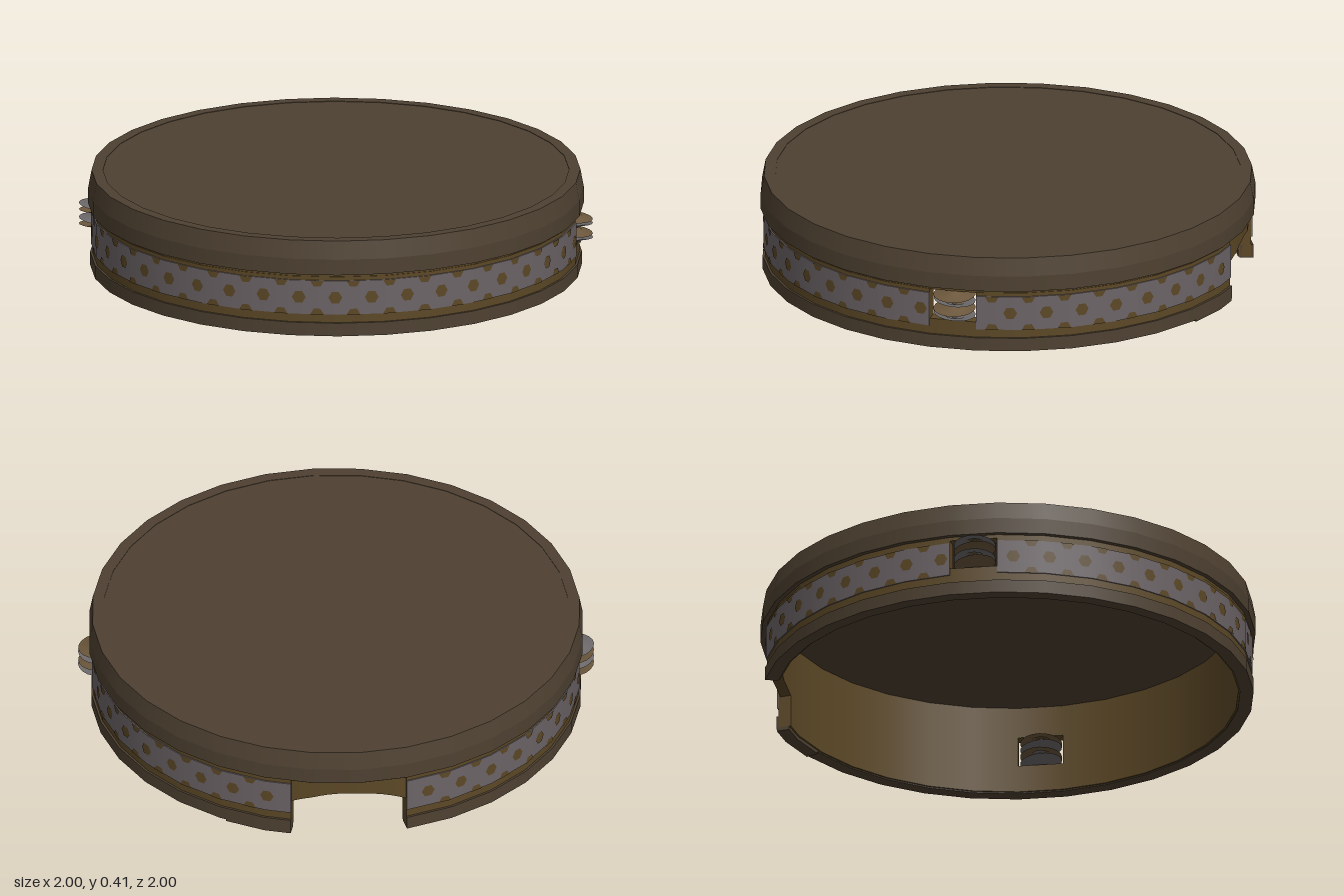
import * as THREE from 'three';

const SIDES = 32;
const STEP = 360 / SIDES;
const DEG = Math.PI / 180;

// Scale that keeps a point on the flat sides of the 32-gon
function facet(deg) {
  const d = ((deg % STEP) + STEP) % STEP - STEP / 2;
  return Math.cos(DEG * STEP / 2) / Math.cos(DEG * d);
}

function onRing(deg, r, y) {
  const k = r * facet(deg);
  return [k * Math.cos(deg * DEG), y, k * Math.sin(deg * DEG)];
}

// Sweep a convex [radius, height] section (counter-clockwise) from one angle to another
function sweep(section, from, to, step = STEP) {
  const profile = typeof section === 'function' ? section : () => section;
  const angles = [from];
  for (let k = Math.floor(from / step) + 1; k * step < to - 1e-6; k++) angles.push(k * step);
  angles.push(to);
  const pos = [], nor = [], idx = [];
  const n = profile(from).length;
  for (let e = 0; e < n; e++) {
    const base = pos.length / 3;
    angles.forEach((a) => {
      const pts = profile(a), p = pts[e], q = pts[(e + 1) % n];
      const dr = q[0] - p[0], dy = q[1] - p[1], l = Math.hypot(dr, dy);
      for (const s of [p, q]) {
        pos.push(...onRing(a, s[0], s[1]));
        nor.push(dy / l * Math.cos(a * DEG), -dr / l, dy / l * Math.sin(a * DEG));
      }
    });
    for (let i = 0; i < angles.length - 1; i++) {
      const a = base + i * 2;
      idx.push(a, a + 1, a + 3, a, a + 3, a + 2);
    }
  }
  // End caps
  if (to - from < 359.9) {
    for (const [a, s] of [[from, -1], [to, 1]]) {
      const base = pos.length / 3;
      for (const p of profile(a)) {
        pos.push(...onRing(a, p[0], p[1]));
        nor.push(-s * Math.sin(a * DEG), 0, s * Math.cos(a * DEG));
      }
      for (let i = 1; i < n - 1; i++) {
        if (s > 0) idx.push(base, base + i, base + i + 1);
        else idx.push(base, base + i + 1, base + i);
      }
    }
  }
  return makeGeometry(pos, nor, idx);
}

function makeGeometry(pos, nor, idx) {
  const g = new THREE.BufferGeometry();
  g.setAttribute('position', new THREE.Float32BufferAttribute(pos, 3));
  g.setAttribute('normal', new THREE.Float32BufferAttribute(nor, 3));
  g.setIndex(idx);
  return g;
}

const box = (r0, r1, y0, y1) => [[r0, y0], [r1, y0], [r1, y1], [r0, y1]];

// Hexagonal spots laid on the band; start and sweep angles give whole or half spots
function spots(list, radius, r) {
  const pos = [], nor = [], idx = [];
  for (const [deg, y, start, arc] of list) {
    const base = pos.length / 3;
    const n = Math.round(arc / 60);
    for (let i = -1; i <= n; i++) {
      const t = (start + i * 60) * DEG, s = i < 0 ? 0 : radius;
      const a = deg - s * Math.cos(t) / r / DEG;
      pos.push(...onRing(a, r, y + s * Math.sin(t)));
      nor.push(Math.cos(a * DEG), 0, Math.sin(a * DEG));
      if (i > 0) idx.push(base, base + i, base + i + 1);
    }
  }
  return makeGeometry(pos, nor, idx);
}

export function createModel() {
  const mat = (name, color, side = THREE.FrontSide) => {
    const m = new THREE.MeshStandardMaterial({ color, side });
    m.name = name;
    return m;
  };
  const wood = mat('dark wood', 0x4e4131);
  const shell = mat('golden wood', 0x5c4826);
  const silver = mat('silver band', 0x6c6467);
  const brass = mat('brass', 0x6b573c, THREE.DoubleSide);
  const steel = mat('steel', 0x6e6a6b, THREE.DoubleSide);

  const root = new THREE.Group();
  const add = (name, geometry, material, parent = root) => {
    const m = new THREE.Mesh(geometry, material);
    m.name = name;
    parent.add(m);
    return m;
  };

  // Angles run from +x towards +z; the hand notch lies between notchStart and notchEnd
  const notchStart = -67.5, notchEnd = -40;
  const ranges = [[notchEnd, 33.75, 0], [45, 213.75, 90], [225, 292.5, 270]];

  // Head and top hoop
  add('head', new THREE.CylinderGeometry(0.98, 0.98, 0.022, SIDES), wood).position.y = 0.397;
  add('topHoop', sweep([[0.94, 0.27], [1, 0.27], [1, 0.335], [0.986, 0.41], [0.94, 0.41]], 0, 360), wood);

  // Shell wall: full upper part, lower part open at the notch, middle part open at the jingles
  add('upperWall', sweep(box(0.93, 0.98, 0.255, 0.388), 0, 360), shell);
  add('lowerWall', sweep(box(0.93, 0.983, 0.015, 0.13), notchEnd, 292.5), shell);
  for (const [a, b] of ranges) add('middleWall', sweep(box(0.93, 0.983, 0.13, 0.258), a, b), shell);

  // Arched top of the hand notch
  const mid = (notchStart + notchEnd) / 2, half = (notchEnd - notchStart) / 2;
  const arch = (a) => box(0.93, 0.975, 0.2 - 0.05 * ((a - mid) / half) ** 2, 0.258);
  add('notchArch', sweep(arch, notchStart, notchEnd, STEP / 6), shell);

  // Bottom hoop and the small lip beside the notch
  add('bottomHoop', sweep(box(0.937, 0.992, 0.01, 0.065), notchEnd, 292.5), wood);
  add('bottomLip', sweep(box(0.937, 0.99, 0, 0.012), notchEnd, -24), wood);

  // Spotted silver bands
  const pitch = 360 / 42;
  for (const [a, b, phase] of ranges) {
    add('silverBand', sweep(box(0.981, 0.988, 0.1, 0.242), a, b), silver);
    const list = [];
    for (let k = -42; k <= 42; k++) {
      const c = phase + k * pitch, e = c + pitch / 2;
      if (c > a + 1.7 && c < b - 1.7) list.push([c, 0.172, 0, 360]);
      if (e > a + 1.7 && e < b - 1.7) list.push([e, 0.1, 0, 180], [e, 0.242, 180, 180]);
    }
    add('bandSpots', spots(list, 0.028, 0.991), shell);
  }

  // Two stacks of cupped jingles on pins
  const cup = new THREE.LatheGeometry(
    [[0.008, 0.016], [0.028, 0.014], [0.045, 0.002], [0.085, -0.004]].map((p) => new THREE.Vector2(...p)), 20);
  for (const side of [1, -1]) {
    const stack = new THREE.Group();
    stack.name = side > 0 ? 'frontJingles' : 'backJingles';
    stack.position.set(0.74 * side, 0, 0.605 * side);
    root.add(stack);
    add('pin', new THREE.CylinderGeometry(0.01, 0.01, 0.14, 10), steel, stack).position.y = 0.195;
    for (let i = 0; i < 4; i++) {
      const top = side > 0 ? brass : steel, other = side > 0 ? steel : brass;
      const j = add('jingle', cup, i % 2 ? top : other, stack);
      j.position.y = 0.15 + i * 0.03;
      j.rotation.set(i % 2 ? 0.06 : Math.PI - 0.06, 0, i % 2 ? -0.08 : 0.08);
    }
  }
  return root;
}
